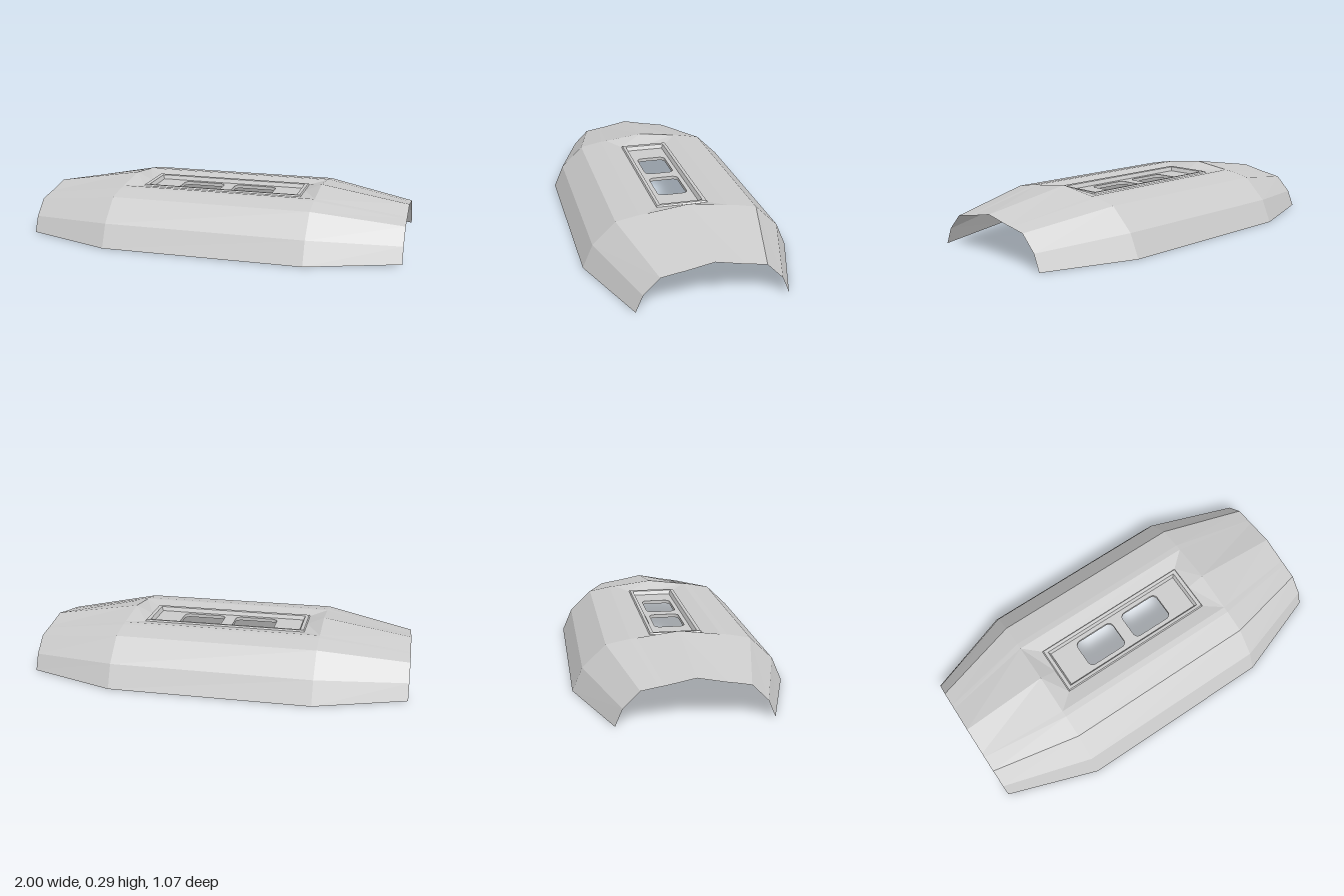
import * as THREE from 'three';

const material = new THREE.MeshStandardMaterial({
  color: 0xcccccc, flatShading: true, side: THREE.DoubleSide,
});

// Half cross-sections as [z, y], from the lower edge up to the ridge.
const END = [[0.37, 0], [0.335, 0.083], [0.255, 0.163], [0.17, 0.178], [0.147, 0.181], [0, 0.21]];
const MID = [[0.535, 0], [0.483, 0.12], [0.365, 0.234], [0.245, 0.257], [0.212, 0.26], [0, 0.287]];

// Full section from +z over the ridge to -z.
function section(half, x) {
  const other = half.slice(0, -1).reverse().map(([z, y]) => [-z, y]);
  return [...half, ...other].map(([z, y]) => [x, y, z]);
}

function addQuad(out, a, b, c, d) {
  out.push(...a, ...b, ...c, ...a, ...c, ...d);
}

function makeMesh(name, positions) {
  const geometry = new THREE.BufferGeometry();
  geometry.setAttribute('position', new THREE.Float32BufferAttribute(positions, 3));
  geometry.computeVertexNormals();
  const mesh = new THREE.Mesh(geometry, material);
  mesh.name = name;
  return mesh;
}

// Six-point ring: a rectangle with a middle point on each end.
function ring(hx, hz, y, ridgeY = y) {
  return [[-hx, y, hz], [hx, y, hz], [hx, ridgeY, 0], [hx, y, -hz], [-hx, y, -hz], [-hx, ridgeY, 0]];
}

function loftRings(rings) {
  const out = [];
  for (let r = 0; r < rings.length - 1; r++) {
    for (let i = 0; i < 6; i++) {
      const j = (i + 1) % 6;
      addQuad(out, rings[r][i], rings[r][j], rings[r + 1][j], rings[r + 1][i]);
    }
  }
  return out;
}

// Rounded rectangular opening.
function roundedHole(cx, w, h, r) {
  const path = new THREE.Path();
  const x = w / 2 - r, y = h / 2 - r;
  path.absarc(cx + x, y, r, 0, Math.PI / 2);
  path.absarc(cx - x, y, r, Math.PI / 2, Math.PI);
  path.absarc(cx - x, -y, r, Math.PI, Math.PI * 1.5);
  path.absarc(cx + x, -y, r, Math.PI * 1.5, Math.PI * 2);
  path.closePath();
  return path;
}

export function createModel() {
  const group = new THREE.Group();
  group.name = 'facetedCover';

  // Curved shell, left open along the top middle for the recess
  const sections = [section(END, -1), section(MID, -0.53), section(MID, 0.53), section(END, 1)];
  const shell = [];
  for (let s = 0; s < 3; s++) {
    for (let i = 0; i < 10; i++) {
      if (s === 1 && (i === 4 || i === 5)) continue;
      const a = sections[s], b = sections[s + 1];
      addQuad(shell, a[i], b[i], b[i + 1], a[i + 1]);
    }
  }
  group.add(makeMesh('shell', shell));

  // Sloped recess between the shell and the frame
  group.add(makeMesh('recess', loftRings([ring(0.53, 0.212, 0.26, 0.287), ring(0.44, 0.135, 0.245)])));

  // Raised frame stepping down to the panel
  group.add(makeMesh('frame', loftRings([
    ring(0.44, 0.135, 0.245), ring(0.435, 0.13, 0.253),
    ring(0.416, 0.113, 0.251), ring(0.406, 0.103, 0.228),
  ])));

  // Sunken panel with two rounded openings
  const shape = new THREE.Shape([[-1, -1], [1, -1], [1, 1], [-1, 1]]
    .map(([x, y]) => new THREE.Vector2(x * 0.406, y * 0.103)));
  for (const side of [-1, 1]) shape.holes.push(roundedHole(side * 0.148, 0.232, 0.16, 0.03));
  const panelGeometry = new THREE.ExtrudeGeometry(shape, { depth: 0.018, bevelEnabled: false, curveSegments: 5 });
  panelGeometry.rotateX(-Math.PI / 2);
  const panel = new THREE.Mesh(panelGeometry, material);
  panel.position.y = 0.212;
  panel.name = 'panel';
  group.add(panel);

  return group;
}
